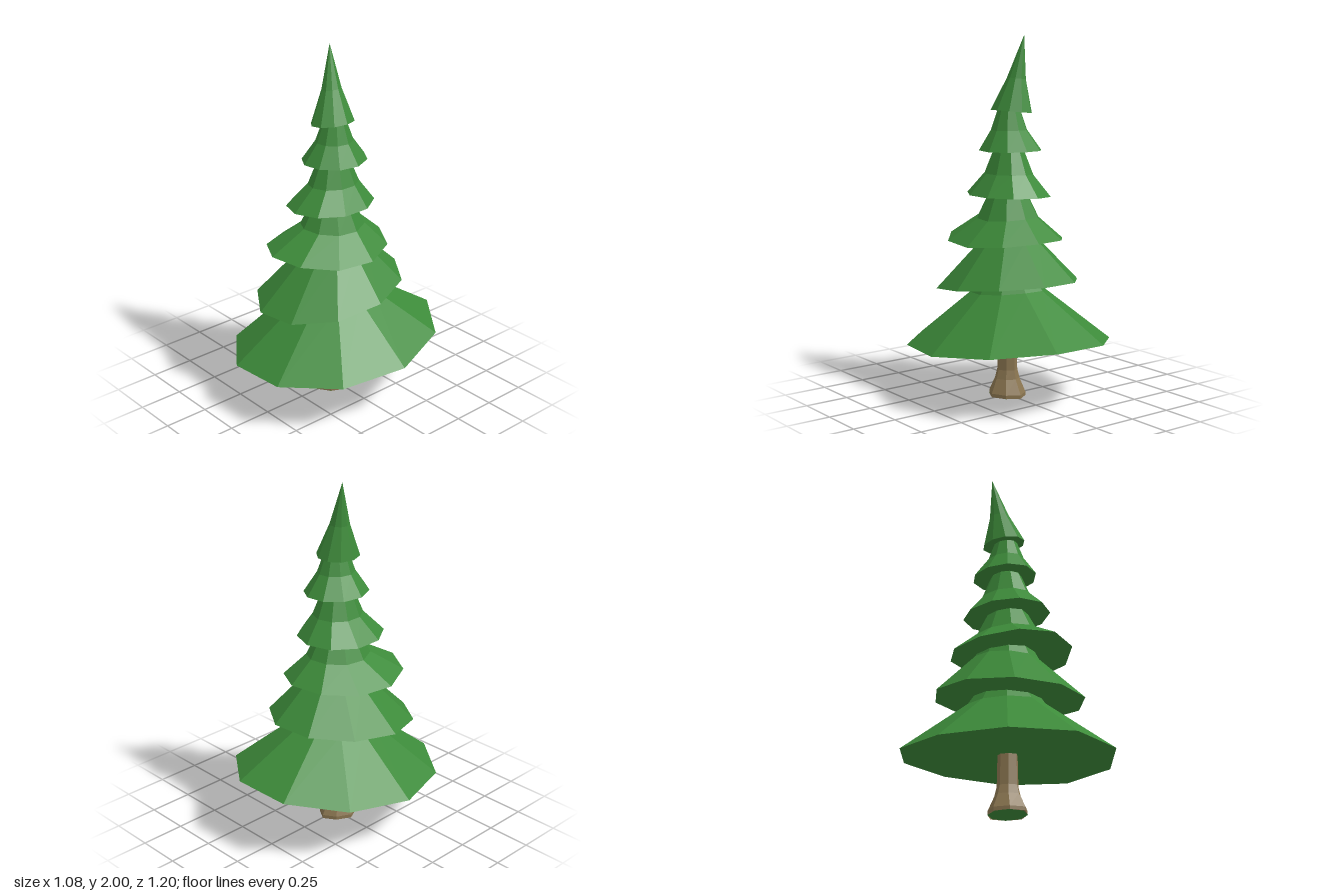
import * as THREE from 'three';

const leaf = new THREE.MeshStandardMaterial({ color: 0x3d8b3a, flatShading: true, side: THREE.DoubleSide });
const bark = new THREE.MeshStandardMaterial({ color: 0x8a7550, flatShading: true, side: THREE.DoubleSide });

// Elliptical ring of corners; height(x, z, angle) gives each corner its y
function ellipse(sides, phase, rx, rz, cx, cz, height) {
  return Array.from({ length: sides }, (_, i) => {
    const a = phase + (i / sides) * Math.PI * 2;
    const x = cx + rx * Math.cos(a), z = cz + rz * Math.sin(a);
    return new THREE.Vector3(x, height(x, z, a), z);
  });
}

// Joins rings of corners from bottom to top and closes the upper end on a point
function loft(name, material, rings, top, bottom) {
  const points = [];
  const n = rings[0].length;
  for (let i = 0; i < n; i++) {
    const j = (i + 1) % n;
    if (bottom) points.push(bottom, rings[0][i], rings[0][j]);
    for (let k = 0; k + 1 < rings.length; k++) {
      const a = rings[k][i], b = rings[k][j], c = rings[k + 1][i], d = rings[k + 1][j];
      points.push(b, a, c, b, c, d);
    }
    const last = rings[rings.length - 1];
    points.push(last[j], last[i], top);
  }
  const geometry = new THREE.BufferGeometry().setFromPoints(points);
  geometry.computeVertexNormals();
  const mesh = new THREE.Mesh(geometry, material);
  mesh.name = name;
  return mesh;
}

// Rim of each tier: height, half width, half depth, centre, slope along x and z,
// droop of the sides, turn in degrees; then the upper rings as [height, scale]
const tiers = [
  { y: 0.315, rx: 0.54, rz: 0.62, cx: 0, cz: 0, sx: 0.02, sz: -0.085, droop: 0.015, turn: -3, upper: [[0.6, 0.37], [0.75, 0.2]] },
  { y: 0.635, rx: 0.375, rz: 0.44, cx: -0.015, cz: 0.03, sx: 0.01, sz: -0.125, droop: 0, turn: -6, upper: [[0.87, 0.44], [1.0, 0.28]] },
  { y: 0.888, rx: 0.31, rz: 0.355, cx: -0.015, cz: 0.045, sx: -0.01, sz: 0, droop: 0.015, turn: -10, upper: [[1.01, 0.53], [1.13, 0.35]] },
  { y: 1.132, rx: 0.22, rz: 0.255, cx: -0.018, cz: 0.018, sx: 0.03, sz: 0, droop: 0.003, turn: -19, upper: [[1.25, 0.58], [1.38, 0.36]] },
  { y: 1.38, rx: 0.165, rz: 0.19, cx: -0.01, cz: -0.005, sx: 0, sz: 0, droop: 0.003, turn: -8, upper: [[1.49, 0.58], [1.6, 0.36]] },
  { y: 1.59, rx: 0.105, rz: 0.13, cx: -0.02, cz: -0.002, sx: 0.1, sz: 0, droop: 0, turn: -5, upper: [[1.77, 0.46]] },
];

function buildTier(t, index) {
  const isTip = index === tiers.length - 1;
  const rings = [[t.y, 1], ...t.upper].map(([y, s], level) => {
    // Upper rings drift to the trunk line, or towards the bent tip
    const cx = level === 0 ? t.cx : isTip ? -0.045 : t.cx / 2;
    const cz = level === 0 ? t.cz : isTip ? -0.015 : t.cz / 4;
    return ellipse(10, THREE.MathUtils.degToRad(t.turn), t.rx * s, t.rz * s, cx, cz,
      (x, z, a) => y + t.sx * x + t.sz * z - t.droop * s * Math.cos(2 * a));
  });
  const top = isTip
    ? new THREE.Vector3(-0.083, 2, -0.035)
    : new THREE.Vector3(t.cx / 2, t.upper[1][0] + 0.06, t.cz / 4);
  const bottom = new THREE.Vector3(t.cx, t.y + 0.01, t.cz);
  return loft('foliageTier' + (index + 1), leaf, rings, top, bottom);
}

// Trunk: flared foot and straight stem, as [height, half width, half depth]
function buildTrunk() {
  const rings = [[0, 0.108, 0.122], [0.02, 0.108, 0.122], [0.1, 0.074, 0.078], [0.15, 0.06, 0.066], [0.42, 0.053, 0.06]]
    .map(([y, w, d]) => ellipse(8, 0, w, d, -0.004, 0.013, () => y));
  // Every other corner is drawn in for a knotty outline
  rings.forEach(ring => ring.forEach((p, i) => {
    if (i % 2) { p.x *= 0.9; p.z *= 0.9; }
  }));
  const trunk = new THREE.Group();
  trunk.name = 'trunk';
  trunk.add(loft('trunkBark', bark, rings, new THREE.Vector3(0, 0.42, 0.01)));
  // Green underside of the trunk
  const base = new THREE.Mesh(new THREE.CircleGeometry(1, 8).rotateX(Math.PI / 2).scale(0.1, 1, 0.11), leaf);
  base.name = 'trunkBase';
  base.position.set(-0.004, 0, 0.013);
  trunk.add(base);
  return trunk;
}

export function createModel() {
  const tree = new THREE.Group();
  tree.name = 'pineTree';
  tree.add(buildTrunk(), ...tiers.map(buildTier));
  return tree;
}
